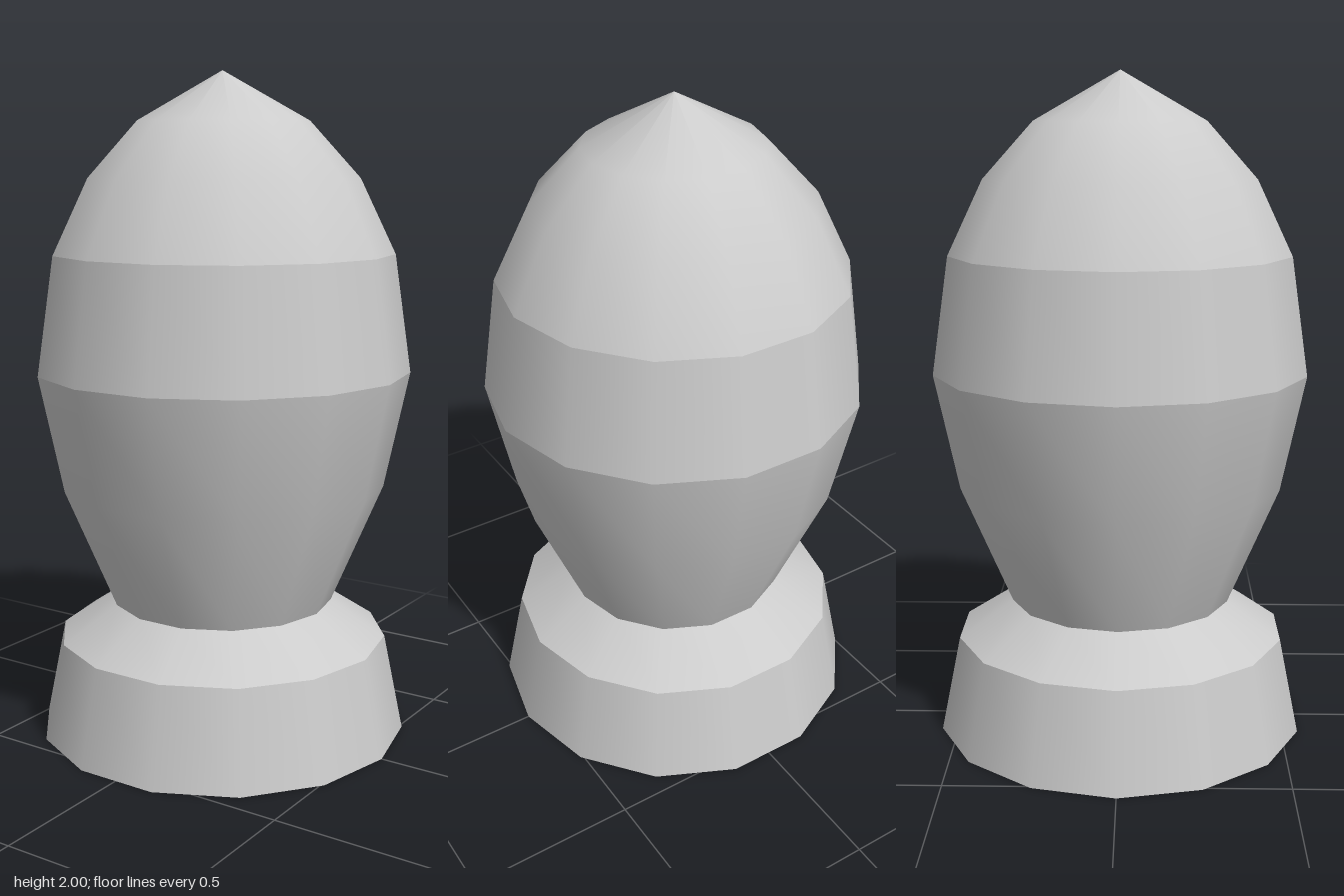
import * as THREE from 'three';

const SIDES = 14;

export function createModel() {
  const group = new THREE.Group();
  const material = new THREE.MeshStandardMaterial({ color: 0xcccccc });

  const add = (name, geometry) => {
    const mesh = new THREE.Mesh(geometry, material);
    mesh.name = name;
    group.add(mesh);
  };

  // Each band is its own lathe: smooth inside, sharp where bands meet
  const bands = {
    baseSide: [[0.565, 0], [0.505, 0.295]],
    baseShoulder: [[0.505, 0.295], [0.338, 0.405]],
    lowerBody: [[0.338, 0.405], [0.492, 0.77], [0.565, 1.12]],
    upperBody: [[0.565, 1.12], [0.514, 1.47]],
    dome: [[0.514, 1.47], [0.408, 1.69], [0.258, 1.855], [0, 2]],
  };
  for (const [name, profile] of Object.entries(bands)) {
    const points = profile.map(([r, y]) => new THREE.Vector2(r, y));
    // A quarter-turn start puts corners on the x axis
    add(name, new THREE.LatheGeometry(points, SIDES, Math.PI / 2));
  }

  // Flat underside
  add('baseUnderside', new THREE.CircleGeometry(0.565, SIDES).rotateX(Math.PI / 2));

  return group;
}
